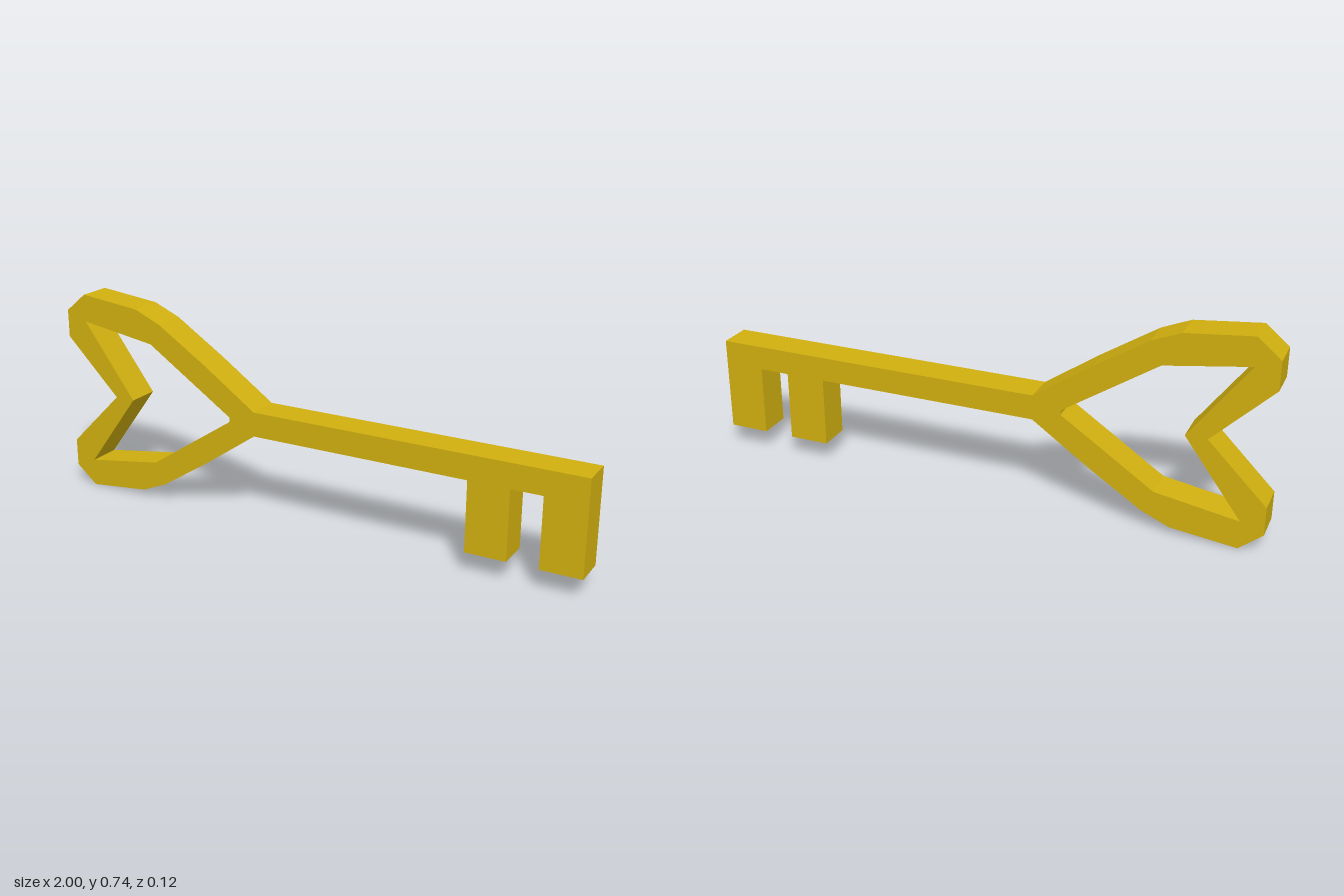
import * as THREE from 'three';

const MID = 0.371;   // height of the shaft's axis
const DEPTH = 0.12;

// Mirrors a run of points across the shaft's axis
const mirrored = (points) => points.map(([x, y]) => [x, 2 * MID - y]).reverse();
const toVectors = (points) => points.map(([x, y]) => new THREE.Vector2(x, y));

export function createModel() {
  const gold = new THREE.MeshStandardMaterial({ color: 0xd0af0f });
  gold.name = 'gold';

  // Upper half of the heart-shaped bow, from shaft to notch
  const bow = [
    [-0.2, 0.415], [-0.4, 0.553], [-0.59, 0.675], [-0.69, 0.717],
    [-0.92, 0.742], [-1, 0.675], [-1, 0.575],
  ];
  // Upper half of the opening, from its tip to the lobe
  const opening = [[-0.3, 0.379], [-0.63, 0.597], [-0.92, 0.642]];
  // Lower edge of the shaft with its two teeth
  const teeth = [
    [0.6, 0.327], [0.6, 0.075], [0.745, 0.075], [0.745, 0.327],
    [0.855, 0.327], [0.855, 0.075], [1, 0.075], [1, 0.415],
  ];

  const outline = new THREE.Shape(toVectors([
    ...bow, [-0.795, MID], ...mirrored(bow), ...teeth,
  ]));
  outline.holes.push(new THREE.Path(toVectors([
    ...opening, [-0.72, MID], ...mirrored(opening),
  ])));

  // Whole key cut from one plate
  const geometry = new THREE.ExtrudeGeometry(outline, { depth: DEPTH, bevelEnabled: false });
  geometry.translate(0, 0, -DEPTH / 2);
  const key = new THREE.Mesh(geometry, gold);
  key.name = 'key';

  const group = new THREE.Group();
  group.name = 'heartKey';
  group.add(key);
  return group;
}
